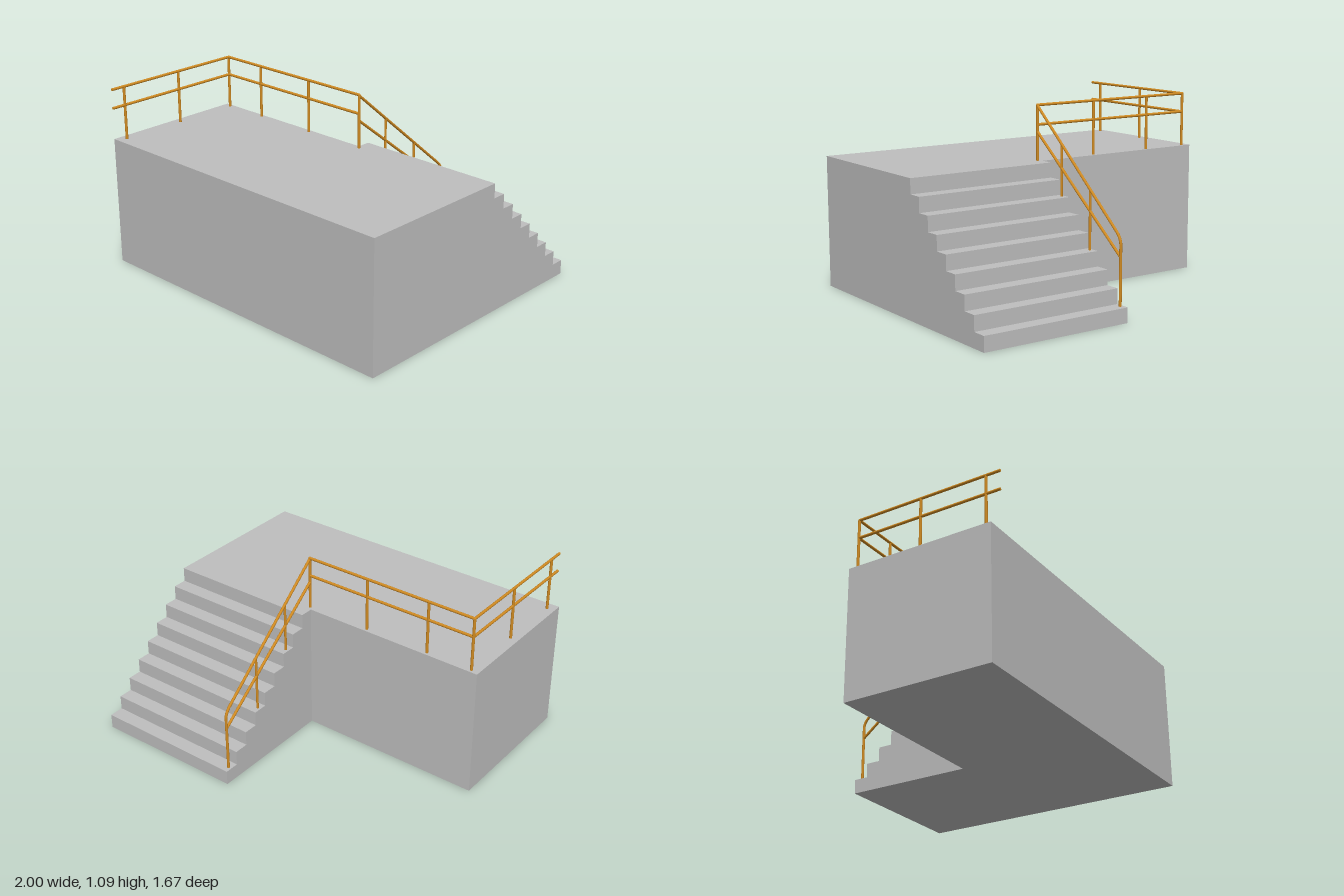
import * as THREE from 'three';

const concrete = new THREE.MeshStandardMaterial({ color: 0xbebebe });
concrete.name = 'concrete grey';
const paint = new THREE.MeshStandardMaterial({ color: 0xcf8a22 });
paint.name = 'railing orange';

const H = 0.768, STEPS = 9, RISE = H / STEPS, RUN = 0.0856;
const BACK = -0.07, FRONT = 0.805, STAIR_X = 0.1;
const R = 0.008;
const V = (x, y, z) => new THREE.Vector3(x, y, z);

function add(parent, name, geometry, material) {
  const mesh = new THREE.Mesh(geometry, material);
  mesh.name = name;
  parent.add(mesh);
  return mesh;
}

// Round bar between two points
function bar(parent, name, a, b, r = R) {
  const d = b.clone().sub(a);
  const mesh = add(parent, name, new THREE.CylinderGeometry(r, r, d.length(), 12), paint);
  mesh.position.copy(a).add(b).multiplyScalar(0.5);
  mesh.quaternion.setFromUnitVectors(V(0, 1, 0), d.normalize());
}

function joint(parent, p) {
  add(parent, 'railJoint', new THREE.SphereGeometry(R, 12, 8), paint).position.copy(p);
}

export function createModel() {
  const model = new THREE.Group();
  model.name = 'platformWithStairs';

  // Landing block
  const platform = add(model, 'platform', new THREE.BoxGeometry(2, H, FRONT - BACK), concrete);
  platform.position.set(0, H / 2, (FRONT + BACK) / 2);

  // Stair flight: stepped side profile, with shape x running towards the back
  const profile = new THREE.Shape();
  profile.moveTo(-BACK, 0);
  profile.lineTo(-BACK, H);
  for (let i = 0; i < STEPS; i++) {
    const d = 0.148 + i * RUN;
    profile.lineTo(d, H - i * RISE);
    profile.lineTo(d, H - (i + 1) * RISE);
  }
  const stairs = new THREE.ExtrudeGeometry(profile, { depth: 1 - STAIR_X, bevelEnabled: false });
  stairs.rotateY(Math.PI / 2);
  add(model, 'stairs', stairs, concrete).position.x = STAIR_X;

  // Level railing along the side and back of the landing
  const landing = new THREE.Group();
  landing.name = 'landingRailing';
  model.add(landing);
  const X0 = -0.953, X1 = 0.12, ZB = -0.049, TOP = 1.082;
  for (const [name, y] of [['topRail', TOP], ['midRail', 0.972]]) {
    bar(landing, name, V(X0, y, 0.835), V(X0, y, ZB));
    bar(landing, name, V(X0, y, ZB), V(X1, y, ZB));
    joint(landing, V(X0, y, ZB));
    joint(landing, V(X1, y, ZB));
  }
  for (const [x, z] of [[X0, 0.75], [X0, 0.35], [X0, ZB], [-0.672, ZB], [-0.275, ZB], [X1, ZB]])
    bar(landing, 'post', V(x, H, z), V(x, TOP, z));

  // Sloping railing down the stairs
  const stairRail = new THREE.Group();
  stairRail.name = 'stairRailing';
  model.add(stairRail);
  const ZE = -0.795;
  const slopeY = z => 1.078 + (z - ZB) * 0.84;

  // Handrail bends over into the bottom post
  const bendStart = V(X1, slopeY(-0.757), -0.757);
  const bendEnd = V(X1, 0.415, ZE);
  const bend = new THREE.QuadraticBezierCurve3(bendStart, V(X1, slopeY(ZE), ZE), bendEnd);
  bar(stairRail, 'handrail', V(X1, slopeY(ZB), ZB), bendStart);
  add(stairRail, 'handrailBend', new THREE.TubeGeometry(bend, 10, R, 12), paint);
  bar(stairRail, 'bottomPost', V(X1, RISE, ZE), bendEnd);
  bar(stairRail, 'lowerRail', V(X1, 0.931, ZB), V(X1, 0.35, ZE));
  bar(stairRail, 'post', V(X1, H - 2 * RISE, -0.275), V(X1, slopeY(-0.275), -0.275), 0.007);
  bar(stairRail, 'post', V(X1, H - 5 * RISE, -0.532), V(X1, slopeY(-0.532), -0.532), 0.007);

  return model;
}
